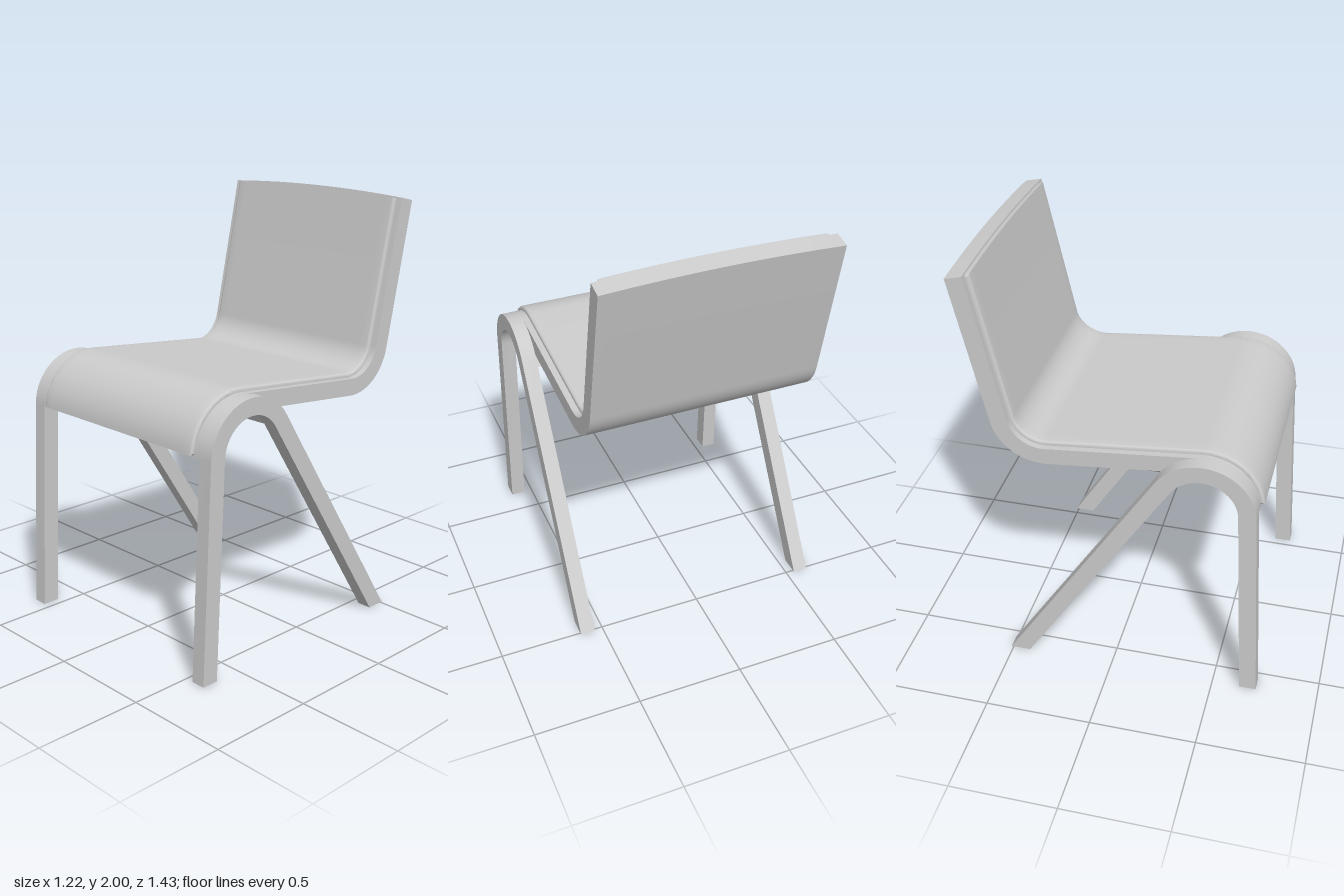
import * as THREE from 'three';
import { toCreasedNormals } from 'three/addons/utils/BufferGeometryUtils.js';

const rad = THREE.MathUtils.degToRad;
const ARCH = { z: 0.417, y: 1.0, r: 0.205 };    // bend shared by the legs and the seat front
const BEND = { z: -0.324, y: 1.335, r: 0.2 };   // bend between seat and backrest
const BACK_DIR = [-0.216, 0.976];               // backrest direction in (z, y)

// points on an arc, offset along the outward normal (inward when sign is -1)
function arc(c, from, to, offset, sign = 1, n = 20) {
  return Array.from({ length: n + 1 }, (_, i) => {
    const a = rad(from + (to - from) * i / n), r = c.r + sign * offset;
    return new THREE.Vector2(c.z + r * Math.cos(a), c.y + r * Math.sin(a));
  });
}

// one edge of the seat profile: front lip, seat, bend, backrest
function seatEdge(offset, startAngle, backLength) {
  const pts = [...arc(ARCH, startAngle, 95.5, offset), ...arc(BEND, -84.5, -167.5, offset, -1)];
  const p = pts[pts.length - 1];
  pts.push(new THREE.Vector2(p.x + BACK_DIR[0] * backLength, p.y + BACK_DIR[1] * backLength));
  return pts;
}

// one edge of the leg profile: both straight legs run down to the floor
function legEdge(offset) {
  const pts = arc(ARCH, 2.8, 147.5, offset, 1, 28);
  const front = pts[0], back = pts[pts.length - 1];
  return [
    new THREE.Vector2(front.x + front.y * Math.tan(rad(2.8)), 0),
    ...pts,
    new THREE.Vector2(back.x - back.y * Math.tan(rad(32.5)), 0),
  ];
}

// side profile in (z, y), extruded across x and centred
function slab(outline, width, bevel = 0, steps = 1) {
  const depth = width - 2 * bevel;
  const geo = new THREE.ExtrudeGeometry(new THREE.Shape(outline), {
    depth, steps, bevelEnabled: bevel > 0, bevelSize: bevel,
    bevelThickness: bevel, bevelOffset: -bevel, bevelSegments: 4,
  });
  geo.translate(0, 0, -depth / 2);
  geo.rotateY(-Math.PI / 2);
  return geo;
}

// raises the top edge of the backrest into a shallow curve
function crown(geo) {
  const p = geo.attributes.position;
  for (let i = 0; i < p.count; i++) {
    if (p.getY(i) < 1.9) continue;
    const h = 0.018 * (1 - (p.getX(i) / 0.54) ** 2);
    p.setY(i, p.getY(i) + BACK_DIR[1] * h);
    p.setZ(i, p.getZ(i) + BACK_DIR[0] * h);
  }
  return geo;
}

export function createModel() {
  const group = new THREE.Group();
  const material = new THREE.MeshStandardMaterial({ color: 0xcccccc });
  const add = (name, geo, x = 0) => {
    const mesh = new THREE.Mesh(toCreasedNormals(geo, rad(32)), material);
    mesh.name = name;
    mesh.position.x = x;
    group.add(mesh);
  };

  // bent seat shell
  const shell = [...seatEdge(0.04, 3, 0.702), ...seatEdge(-0.04, 3, 0.702).reverse()];
  add('seatShell', crown(slab(shell, 1.08, 0, 24)));

  // thin upholstered pad with rounded edges, set into the shell
  const pad = [...seatEdge(0.06, 5, 0.694), ...seatEdge(0.02, 5, 0.694).reverse()];
  add('seatPad', crown(slab(pad, 1.02, 0.012, 24)));

  // bent leg frames, one on each side
  const leg = [...legEdge(0.04), ...legEdge(-0.04).reverse()];
  for (const [name, side] of [['leftLegFrame', 1], ['rightLegFrame', -1]]) {
    add(name, slab(leg, 0.07), side * 0.575);
  }

  // rail joining the frames beneath the seat, in line with the back legs
  const rail = new THREE.BoxGeometry(1.08, 0.1, 0.04);
  rail.rotateX(rad(32.5));
  rail.translate(0, 1.12, 0.245);
  add('underseatRail', rail);

  return group;
}
